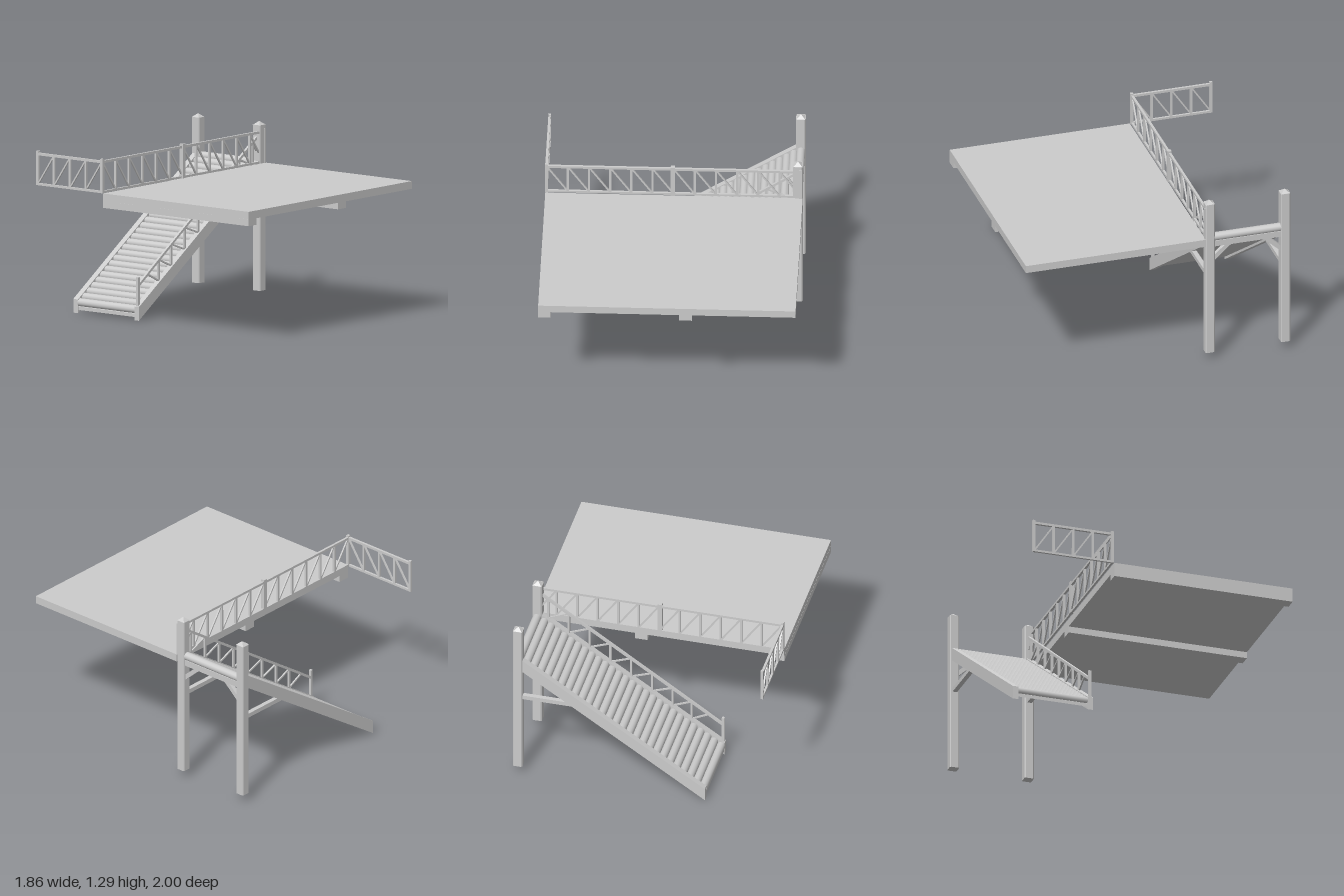
import * as THREE from 'three';

const grey = new THREE.MeshStandardMaterial({ color: 0xcccccc });

export function createModel() {
  const model = new THREE.Group();

  function add(name, geometry, parent = model) {
    const mesh = new THREE.Mesh(geometry, grey);
    mesh.name = name;
    parent.add(mesh);
    return mesh;
  }
  // Box given by its min and max corners
  function box(name, a, b, parent) {
    const g = new THREE.BoxGeometry(b[0] - a[0], b[1] - a[1], b[2] - a[2]);
    g.translate((a[0] + b[0]) / 2, (a[1] + b[1]) / 2, (a[2] + b[2]) / 2);
    return add(name, g, parent);
  }
  // Square bar running between two points
  function bar(name, a, b, w, parent) {
    const p = new THREE.Vector3(...a), q = new THREE.Vector3(...b);
    const mesh = add(name, new THREE.BoxGeometry(w, w, p.distanceTo(q)), parent);
    mesh.position.copy(p).add(q).multiplyScalar(0.5);
    mesh.lookAt(q);
    return mesh;
  }
  function group(name) {
    const g = new THREE.Group();
    g.name = name;
    model.add(g);
    return g;
  }

  // Deck slab and the joists beneath it
  box('deck', [-0.93, 0.928, -0.36], [0.93, 0.985, 1]);
  for (const x of [-0.885, 0.135]) box('joist', [x - 0.046, 0.88, -0.36], [x + 0.046, 0.93, 1]);

  // Tall corner posts with chamfered edges and pointed caps
  const h = 0.035, c = 0.007;
  const section = new THREE.Shape([
    [-h + c, -h], [h - c, -h], [h, -h + c], [h, h - c],
    [h - c, h], [-h + c, h], [-h, h - c], [-h, -h + c],
  ].map(p => new THREE.Vector2(...p)));
  for (const z of [-0.395, -0.965]) {
    const post = group('tallPost');
    post.position.set(0.895, 0, z);
    const shaft = new THREE.ExtrudeGeometry(section, { depth: 1.21, bevelEnabled: false });
    shaft.rotateX(-Math.PI / 2).translate(0, 0.055, 0);
    add('postShaft', shaft, post);
    const cap = new THREE.ConeGeometry(0.0475, 0.028, 4).toNonIndexed();
    cap.rotateY(Math.PI / 4).translate(0, 1.277, 0);
    cap.computeVertexNormals();
    add('postCap', cap, post);
    // Strut back to the stair stringer
    box('strut', [0.49, 0.655, z - 0.017], [0.87, 0.687, z + 0.017]);
    // Diagonal brace up to the cross beam
    const s = z > -0.6 ? -1 : 1;
    bar('brace', [0.895, 0.81, z + s * 0.025], [0.895, 0.935, z + s * 0.165], 0.032);
  }
  box('crossBeam', [0.87, 0.915, -0.95], [0.92, 0.96, -0.41]);

  // Staircase: sloped stringers, soffit panel and rounded log treads
  const slope = 0.664;
  const line = (x, offset) => offset + slope * (x + 0.5);
  function slopedPlank(name, x0, x1, low, high, z0, z1) {
    const shape = new THREE.Shape([
      new THREE.Vector2(x0, line(x0, low)), new THREE.Vector2(x1, line(x1, low)),
      new THREE.Vector2(x1, line(x1, high)), new THREE.Vector2(x0, line(x0, high)),
    ]);
    const g = new THREE.ExtrudeGeometry(shape, { depth: z1 - z0, bevelEnabled: false });
    add(name, g.translate(0, 0, z0), stairs);
  }
  const stairs = group('stairs');
  slopedPlank('stringer', -0.5, 0.9, 0, 0.1, -0.418, -0.376);
  slopedPlank('stringer', -0.5, 0.9, 0, 0.1, -0.988, -0.944);
  slopedPlank('soffit', -0.495, 0.89, 0.02, 0.045, -0.946, -0.416);
  const treads = 28;
  for (let i = 0; i < treads; i++) {
    const x = -0.473 + i * 0.0507;
    const log = add('tread', new THREE.CylinderGeometry(0.031, 0.031, 0.53, 14), stairs);
    log.rotation.x = Math.PI / 2;
    log.position.set(x, line(x, 0.058), -0.681);
  }

  // Truss railing: base line and top line split into bays with diagonals
  // at(t, k) gives a point along the run (t) at the bottom (k=0) or top (k=1)
  function railing(name, stops, at, hasBase) {
    const g = group(name);
    const first = stops[0], last = stops[stops.length - 1];
    bar('topRail', at(first, 1), at(last, 1), 0.018, g);
    if (hasBase) bar('baseRail', at(first, 0), at(last, 0), 0.016, g);
    stops.forEach((t, i) => {
      if (i > 0 && i < stops.length - 1) bar('baluster', at(t, 0), at(t, 1), 0.016, g);
      if (i < stops.length - 1) bar('diagonal', at(t, 1), at(stops[i + 1], 0), 0.011, g);
    });
    return g;
  }
  const run = (from, to, n) => Array.from({ length: n + 1 }, (_, i) => from + (to - from) * i / n);

  // Long railing on the rear edge of the deck
  const back = railing('deckRailing', run(-0.92, 0.915, 12), (t, k) => [t, 0.993 + k * 0.22, -0.374], true);
  box('endPost', [-0.931, 0.985, -0.384], [-0.911, 1.235, -0.362], back);
  box('middlePost', [-0.024, 0.985, -0.386], [0.008, 1.235, -0.356], back);
  box('endPost', [0.905, 0.985, -0.384], [0.925, 1.235, -0.355], back);

  // Short railing returning to the rear
  const side = railing('sideRailing', run(-0.374, -0.97, 4), (t, k) => [-0.922, 0.993 + k * 0.22, t], true);
  box('endPost', [-0.931, 0.985, -0.981], [-0.912, 1.235, -0.961], side);

  // Handrail along the inner stringer
  const stops = [-0.487, -0.38, -0.25, -0.108, 0.045, 0.2, 0.355, 0.51, 0.665, 0.82, 0.9];
  const stair = railing('stairRailing', stops.slice(1),
    (t, k) => [t, line(t, 0.095) + k * (0.15 + 0.016 * (t + 0.5)), -0.397], false);
  bar('lowerHandrail', [-0.487, 0.252, -0.397], [-0.375, 0.329, -0.397], 0.018, stair);
  box('newelPost', [-0.496, 0.09, -0.407], [-0.476, 0.315, -0.387], stair);

  return model;
}
